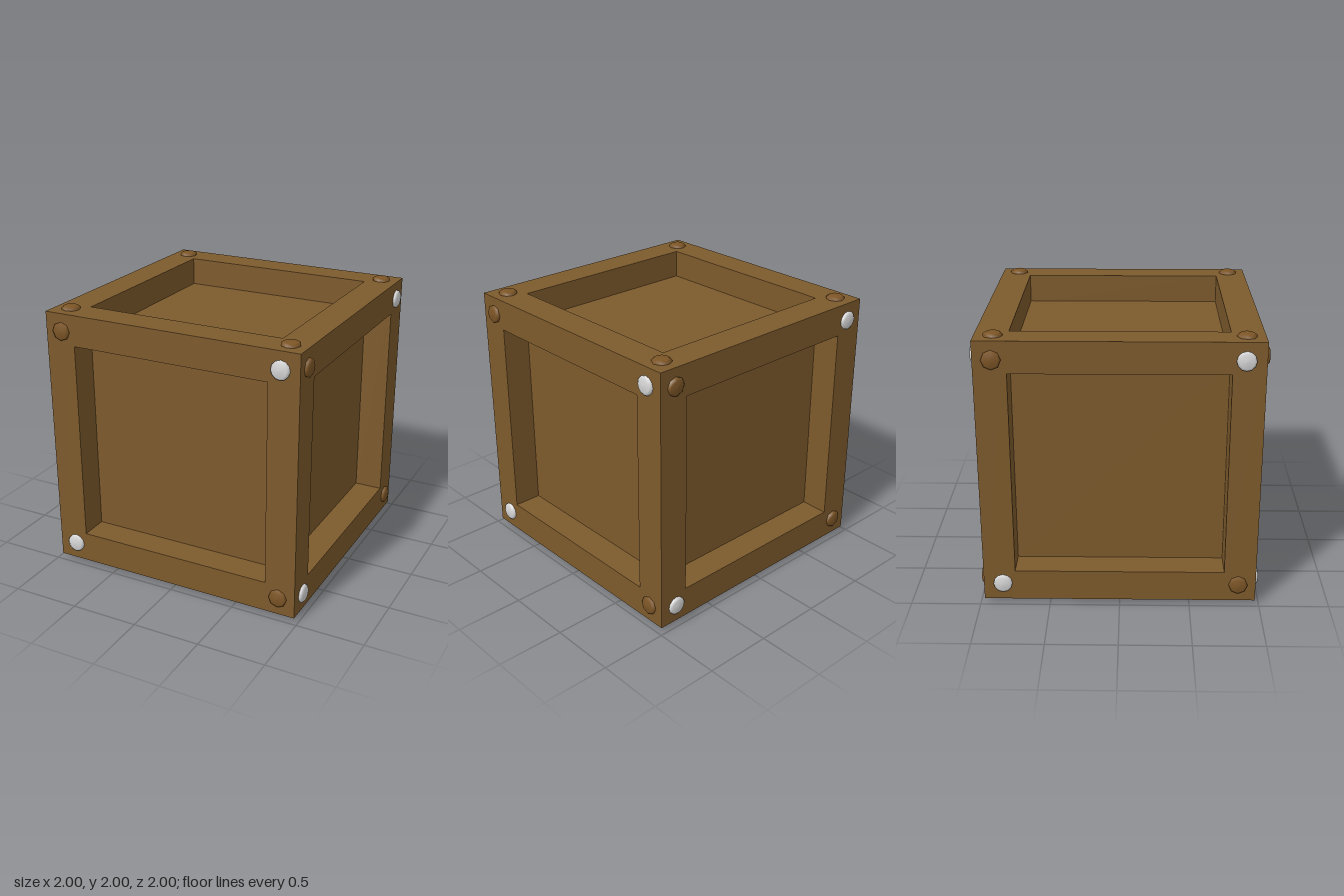
import * as THREE from 'three';

const HALF = 0.972;          // half size of the crate
const BEAM = 0.227;          // beam thickness
const DEPTH = 0.21;          // how far the panels are sunk
const MID = 1.004;           // height of the crate's centre

export function createModel() {
  const wood = new THREE.MeshStandardMaterial({ color: 0x7d5a2c });
  wood.name = 'wood';
  const bronze = new THREE.MeshStandardMaterial({ color: 0x7c5526 });
  bronze.name = 'bronze';
  const steel = new THREE.MeshStandardMaterial({ color: 0xd6d6d6 });
  steel.name = 'steel';

  const model = new THREE.Group();
  model.name = 'crate';
  const crate = new THREE.Group();
  crate.name = 'crateBody';
  crate.position.y = MID;
  model.add(crate);

  const addBox = (name, w, h, d, x, y, z) => {
    const mesh = new THREE.Mesh(new THREE.BoxGeometry(w, h, d), wood);
    mesh.name = name;
    mesh.position.set(x, y, z);
    crate.add(mesh);
  };

  // Inner box whose sides form the six sunken panels
  const core = 2 * (HALF - DEPTH);
  addBox('panels', core, core, core, 0, 0, 0);

  // Frame: four corner posts with rails fitted between them
  const c = HALF - BEAM / 2;
  const span = 2 * (HALF - BEAM);
  for (const a of [-1, 1]) {
    for (const b of [-1, 1]) {
      addBox('cornerPost', BEAM, 2 * HALF, BEAM, a * c, 0, b * c);
      addBox('crossRail', span, BEAM, BEAM, 0, a * c, b * c);
      addBox('sideRail', BEAM, BEAM, span, a * c, b * c, 0);
    }
  }

  // Low domed bolt heads, pointing along +z
  const boltGeometry = (sides) => {
    const profile = [[0.067, -0.01], [0.067, 0.012], [0.05, 0.025], [0, 0.028]]
      .map(([r, h]) => new THREE.Vector2(r, h));
    return new THREE.LatheGeometry(profile, sides).rotateX(Math.PI / 2);
  };
  const bronzeBolt = boltGeometry(8);
  const steelBolt = boltGeometry(12);

  // One set of four bolts per face; each side has steel on one diagonal
  const faces = [
    ['front', 0, 0], ['left', 0, Math.PI / 2], ['back', 0, Math.PI], ['right', 0, -Math.PI / 2],
    ['top', -Math.PI / 2, 0], ['bottom', Math.PI / 2, 0],
  ];
  for (const [name, rx, ry] of faces) {
    const set = new THREE.Group();
    set.name = name + 'Bolts';
    set.rotation.set(rx, ry, 0);
    for (const sx of [-1, 1]) {
      for (const sy of [-1, 1]) {
        const isSteel = rx === 0 && sx === sy;
        const bolt = new THREE.Mesh(isSteel ? steelBolt : bronzeBolt, isSteel ? steel : bronze);
        bolt.name = isSteel ? 'steelBolt' : 'bronzeBolt';
        bolt.position.set(sx * (isSteel ? 0.835 : 0.846), sy * 0.843, HALF);
        // Bottom bolts reach down to the ground
        if (name === 'bottom') bolt.position.z = MID - 0.028;
        set.add(bolt);
      }
    }
    crate.add(set);
  }
  return model;
}
